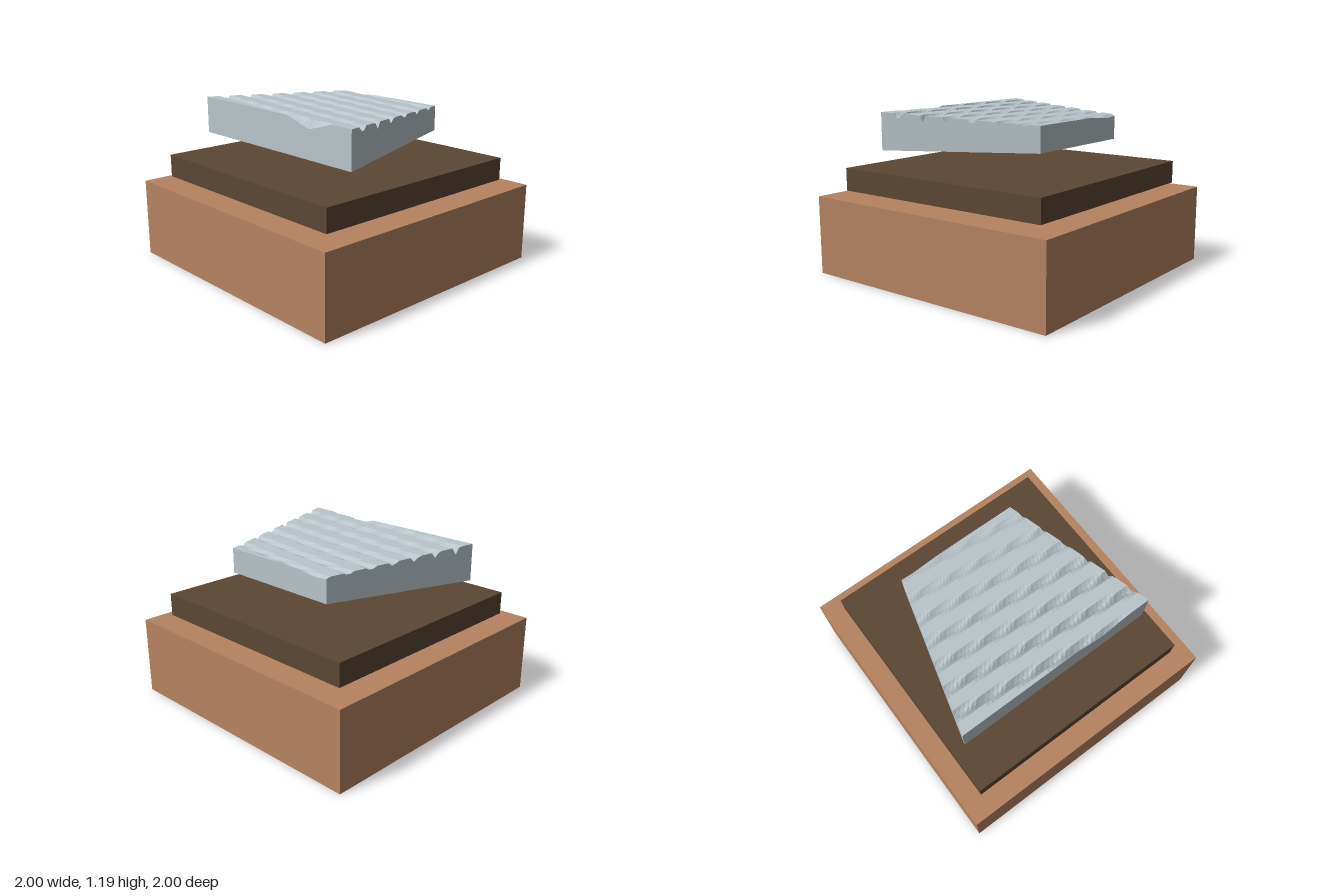
import * as THREE from 'three';

const colour = (name, hex) => {
  const m = new THREE.MeshStandardMaterial({ color: hex });
  m.name = name;
  return m;
};

function block(name, size, y0, y1, material) {
  const mesh = new THREE.Mesh(new THREE.BoxGeometry(size, y1 - y0, size), material);
  mesh.position.y = (y0 + y1) / 2;
  mesh.name = name;
  return mesh;
}

// Depth of the slanting V-shaped grooves, shallower towards the back
function grooveDepth(x, z) {
  const pitch = 0.1745;
  const t = (z - 0.125 * x) / pitch;
  const d = Math.abs(t - Math.round(t)) * pitch;
  return (0.042 + 0.04 * z) * Math.max(0, 1 - d / 0.027);
}

// Wedge-shaped slab: a box tapered towards the back, with grooves cut in its top
function groovedSlab(material) {
  const box = new THREE.BoxGeometry(2, 2, 1.14, 40, 1, 40);
  const p = box.attributes.position;
  for (let i = 0; i < p.count; i++) {
    const z = p.getZ(i);
    const f = (z + 0.57) / 1.14; // 0 at the back, 1 at the front
    const x = p.getX(i) * THREE.MathUtils.lerp(0.465, 0.77, f);
    const y = p.getY(i) > 0
      ? THREE.MathUtils.lerp(1.142, 1.186, f) - grooveDepth(x, z)
      : THREE.MathUtils.lerp(0.962, 0.918, f);
    p.setXYZ(i, x, y, z);
  }
  const flat = box.toNonIndexed();
  flat.clearGroups();
  flat.computeVertexNormals();
  const mesh = new THREE.Mesh(flat, material);
  mesh.name = 'groovedSlab';
  return mesh;
}

export function createModel() {
  const group = new THREE.Group();
  group.name = 'model';
  group.add(
    block('base', 2, 0, 0.572, colour('clay', 0xb68361)),
    block('middlePlate', 1.715, 0.61, 0.775, colour('dark brown', 0x5c4633)),
    groovedSlab(colour('pale blue grey', 0xb9c5ca))
  );
  return group;
}
